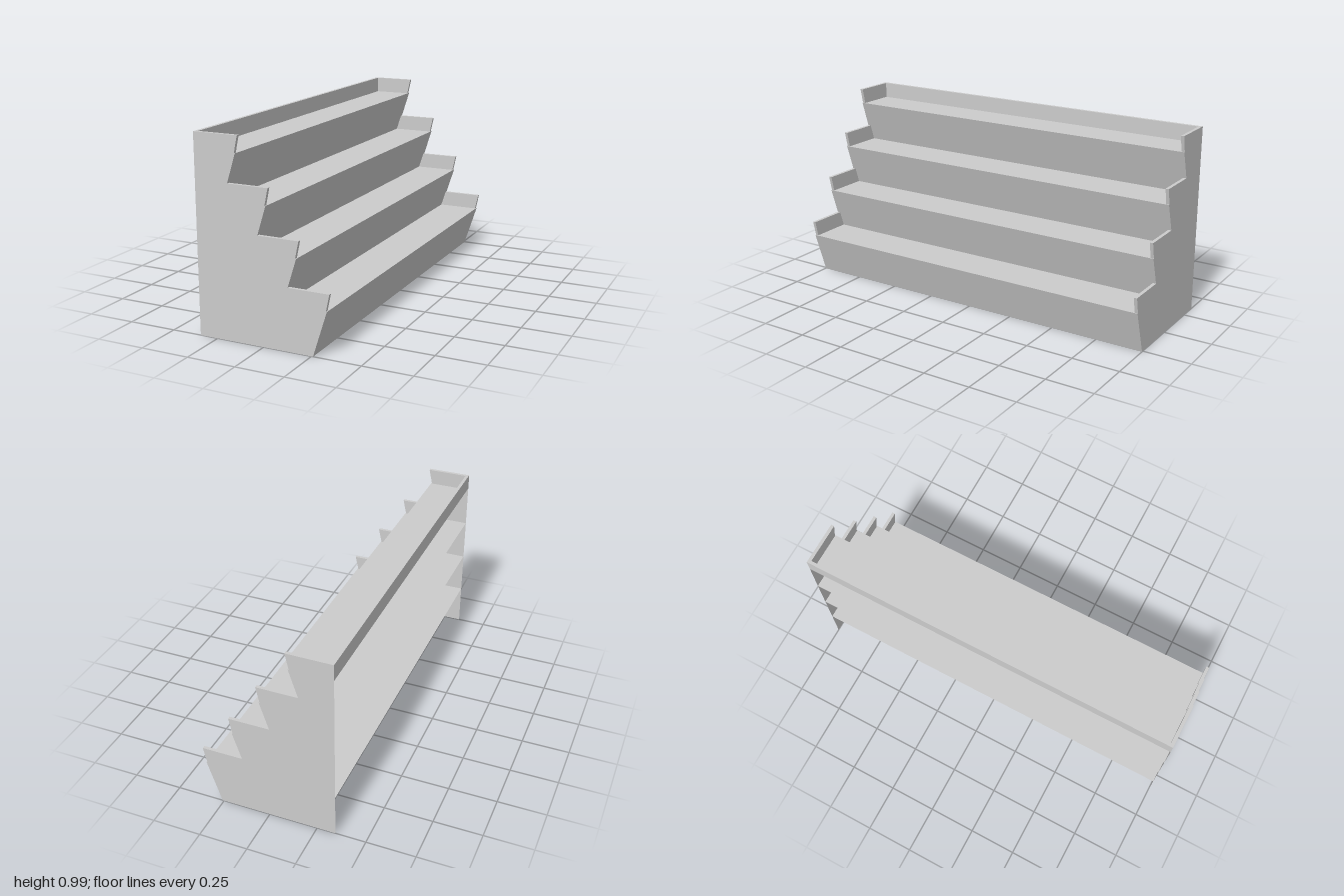
import * as THREE from 'three';

const STEPS = 4;
const RISE = 0.2255;   // height of one step
const SHIFT = -0.152;  // each step sits this much further back
const BACK = -0.345;
const TOE = 0.258, NOSE = 0.33;  // bottom and top of the lowest riser
const HALF = 1;        // half of the length along z
const T = 0.017;       // thickness of guards and lip

export function createModel() {
  const model = new THREE.Group();
  const sheetMat = new THREE.MeshStandardMaterial({ color: 0xcccccc, side: THREE.DoubleSide });
  const solidMat = new THREE.MeshStandardMaterial({ color: 0xcccccc });

  const add = (name, geometry, material, z = 0) => {
    const mesh = new THREE.Mesh(geometry, material);
    mesh.name = name;
    mesh.position.z = z;
    model.add(mesh);
    return mesh;
  };

  // Thin sheet running the full length between two points of the profile
  const sheet = (x0, y0, x1, y1) => {
    const g = new THREE.BufferGeometry();
    g.setAttribute('position', new THREE.Float32BufferAttribute([
      x0, y0, HALF, x0, y0, -HALF, x1, y1, -HALF, x1, y1, HALF], 3));
    g.setIndex([0, 1, 2, 0, 2, 3]);
    g.computeVertexNormals();
    return g;
  };

  const polygon = (pts) => new THREE.Shape(pts.map(([x, y]) => new THREE.Vector2(x, y)));

  const profile = [[BACK, 0]];
  for (let i = 0; i < STEPS; i++) {
    const dx = i * SHIFT, y = i * RISE, top = y + RISE;
    profile.push([TOE + dx, y], [NOSE + dx, top]);

    // Sloping riser and a shelf that reaches the open back
    add('riser', sheet(TOE + dx, y, NOSE + dx, top), sheetMat);
    add('shelf', sheet(NOSE + dx, top, BACK, top), sheetMat);

    // Upright guards at both ends of the shelf
    const last = i === STEPS - 1;
    const guard = polygon([
      [last ? BACK : 0.1 + dx, top],
      [0.325 + dx, top],
      [0.343 + dx, top + 0.083],
      [last ? BACK : 0.127 + dx, top + 0.083],
    ]);
    for (const z of [-HALF, HALF - T]) {
      add('endGuard', new THREE.ExtrudeGeometry(guard, { depth: T, bevelEnabled: false }), solidMat, z);
    }
  }
  profile.push([BACK, STEPS * RISE]);

  // Stepped end panels
  for (const side of [-1, 1]) {
    add('endPanel', new THREE.ShapeGeometry(polygon(profile)), sheetMat, side * HALF)
      .rotation.y = 0;
  }

  // Lip along the back of the top shelf
  const lip = add('backLip', new THREE.BoxGeometry(T, 0.083, 2 * (HALF - T)), solidMat);
  lip.position.set(BACK + T / 2, STEPS * RISE + 0.0415, 0);

  return model;
}
